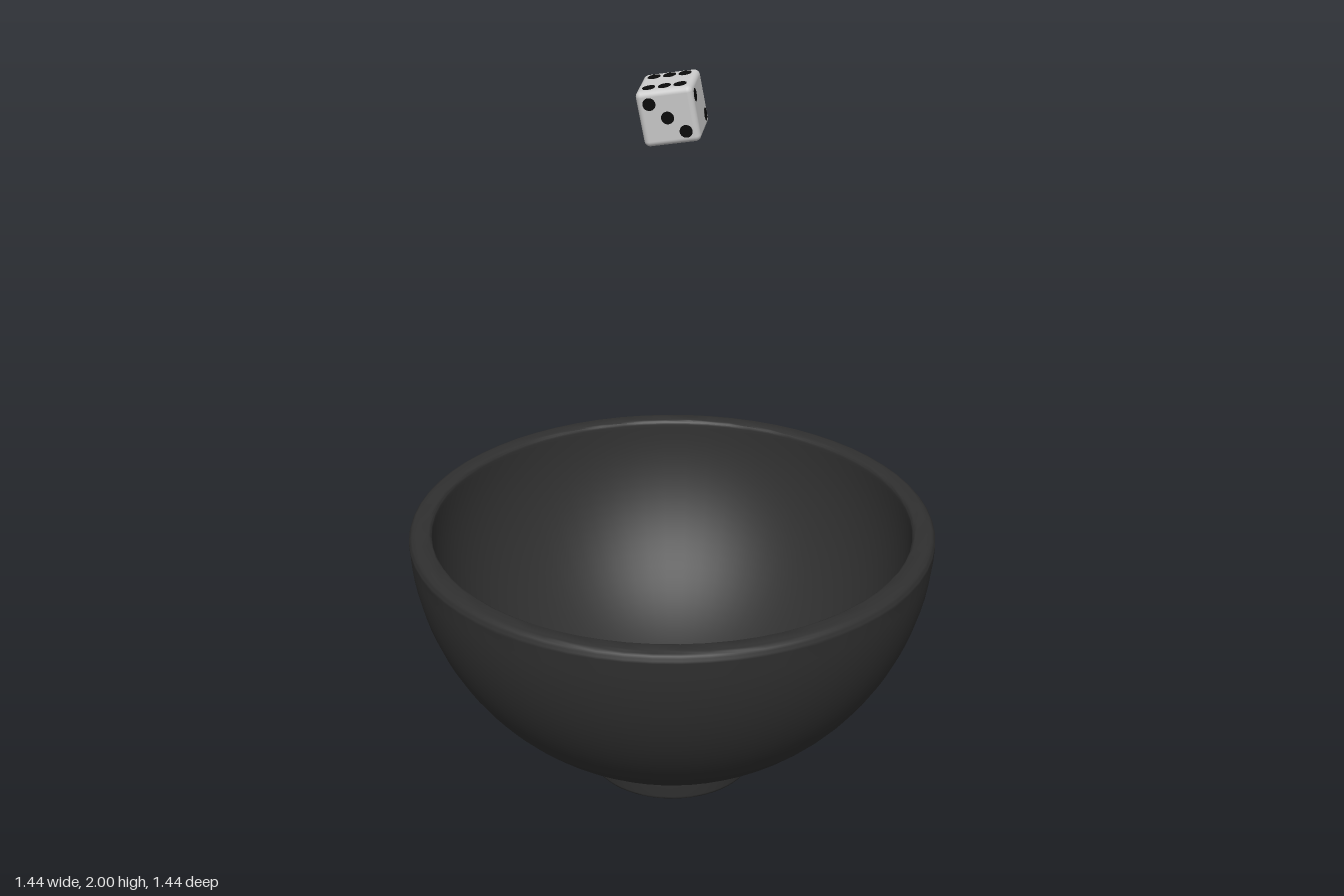
import * as THREE from 'three';
import { RoundedBoxGeometry } from 'three/addons/geometries/RoundedBoxGeometry.js';
import { toCreasedNormals } from 'three/addons/utils/BufferGeometryUtils.js';

const material = (color) => new THREE.MeshStandardMaterial({ color });

// Points along an arc, angles in degrees
function arc(cx, cy, r, from, to, steps) {
  return Array.from({ length: steps + 1 }, (_, i) => {
    const a = THREE.MathUtils.degToRad(from + ((to - from) * i) / steps);
    return new THREE.Vector2(Math.max(0, cx + r * Math.cos(a)), cy + r * Math.sin(a));
  });
}

function lathe(name, points, mat) {
  const mesh = new THREE.Mesh(toCreasedNormals(new THREE.LatheGeometry(points, 64), 0.7), mat);
  mesh.name = name;
  return mesh;
}

function createBowl() {
  const bowl = new THREE.Group();
  bowl.name = 'bowl';
  const mat = material(0x303030);

  // Hemispherical wall with a rounded rim, outside then inside
  bowl.add(lathe('bowlWall', [
    ...arc(0, 0.76, 0.718, -90, -2.2, 28),
    ...arc(0.693, 0.735, 0.025, 0, 90, 6),
    ...arc(0.668, 0.747, 0.013, 90, 180, 4),
    ...arc(0, 0.76, 0.655, -2, -90, 28),
  ], mat));

  // Hollow ring foot
  bowl.add(lathe('foot', [
    new THREE.Vector2(0.185, 0.075),
    ...arc(0.197, 0.012, 0.012, 180, 270, 4),
    ...arc(0.223, 0.012, 0.012, 270, 360, 4),
    new THREE.Vector2(0.235, 0.085),
  ], mat));
  return bowl;
}

function createDie() {
  const die = new THREE.Group();
  die.name = 'die';
  const size = 0.145, step = 0.04;
  const body = new THREE.Mesh(new RoundedBoxGeometry(size, size, size, 4, 0.015), material(0xcccccc));
  body.name = 'dieBody';
  die.add(body);

  // Pip layouts on each face, as [u, v] in steps
  const diagonal = [[1, 1], [-1, -1]];
  const corners = [...diagonal, [1, -1], [-1, 1]];
  const faces = [
    { normal: [0, -1, 0], u: [1, 0, 0], v: [0, 0, 1], pips: [[0, 0]] },
    { normal: [0, 0, -1], u: [1, 0, 0], v: [0, 1, 0], pips: diagonal },
    { normal: [1, 0, 0], u: [0, 0, 1], v: [0, 1, 0], pips: [...diagonal, [0, 0]] },
    { normal: [-1, 0, 0], u: [0, 0, 1], v: [0, 1, 0], pips: corners },
    { normal: [0, 0, 1], u: [1, 0, 0], v: [0, 1, 0], pips: [...corners, [0, 0]] },
    { normal: [0, 1, 0], u: [1, 0, 0], v: [0, 0, 1], pips: [...corners, [1, 0], [-1, 0]] },
  ];
  const pipGeometry = new THREE.CylinderGeometry(0.0165, 0.0165, 0.004, 24);
  const black = material(0x0a0a0a), red = material(0xaa1111);
  const up = new THREE.Vector3(0, 1, 0);
  for (const face of faces) {
    const [normal, u, v] = [face.normal, face.u, face.v].map((p) => new THREE.Vector3(...p));
    for (const [i, j] of face.pips) {
      const pip = new THREE.Mesh(pipGeometry, face.pips.length === 1 ? red : black);
      pip.name = 'pip';
      pip.quaternion.setFromUnitVectors(up, normal);
      pip.position.copy(normal).multiplyScalar(size / 2 - 0.0014)
        .addScaledVector(u, i * step).addScaledVector(v, j * step);
      die.add(pip);
    }
  }

  // Tumbling pose, hovering over the bowl
  const back = new THREE.Vector3(0.77, 0.17, -0.62).normalize();
  const side = new THREE.Vector3(0.62, -0.08, 0.77);
  side.addScaledVector(back, -side.dot(back)).normalize();
  const top = new THREE.Vector3().crossVectors(side, back);
  die.quaternion.setFromRotationMatrix(new THREE.Matrix4().makeBasis(side, top, back.clone().negate()));
  die.position.set(-0.003, 1.916, -0.003);
  return die;
}

export function createModel() {
  const model = new THREE.Group();
  model.name = 'dieOverBowl';
  model.add(createBowl(), createDie());
  return model;
}
